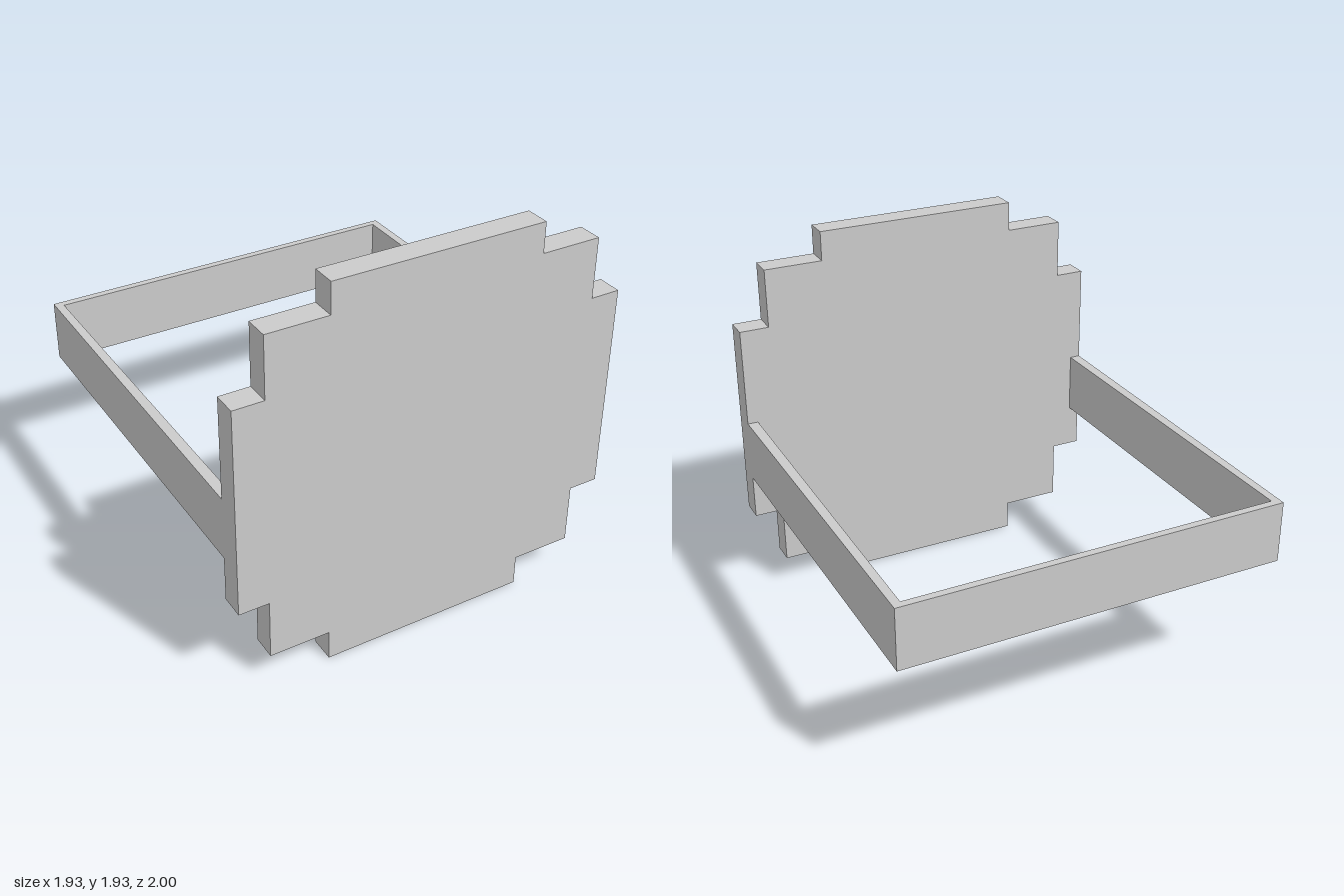
import * as THREE from 'three';

const material = new THREE.MeshStandardMaterial({ color: 0xcccccc, flatShading: true });

function extrude(name, points, depth) {
  const shape = new THREE.Shape(points.map(([x, y]) => new THREE.Vector2(x, y)));
  const mesh = new THREE.Mesh(
    new THREE.ExtrudeGeometry(shape, { depth, bevelEnabled: false }), material);
  mesh.name = name;
  return mesh;
}

// Appends the mirror image (x -> -x) of an outline's right half
const mirrored = (half) => [...half, ...half.slice().reverse().map(([x, y]) => [-x, y])];

export function createModel() {
  const model = new THREE.Group();
  model.name = 'steppedPlateWithStrap';

  // Upright plate with a stepped, roughly round outline
  const plate = extrude('facePlate', mirrored([
    [0.518, 0], [0.518, 0.15], [0.815, 0.15], [0.815, 0.45], [0.963, 0.45],
    [0.963, 1.485], [0.815, 1.485], [0.815, 1.783], [0.518, 1.783], [0.518, 1.932],
  ]), 0.12);
  plate.position.z = 0.88;
  model.add(plate);

  // U-shaped strap behind the plate, thickening slightly towards it (outline y is -z)
  const strap = extrude('strap', [
    [-0.963, -0.88], [-0.91, -0.88], [-0.922, 0.963], [0.922, 0.963],
    [0.91, -0.88], [0.963, -0.88], [0.963, 1], [-0.963, 1],
  ], 0.31);
  strap.rotation.x = -Math.PI / 2;
  strap.position.y = 0.675;
  model.add(strap);

  return model;
}
